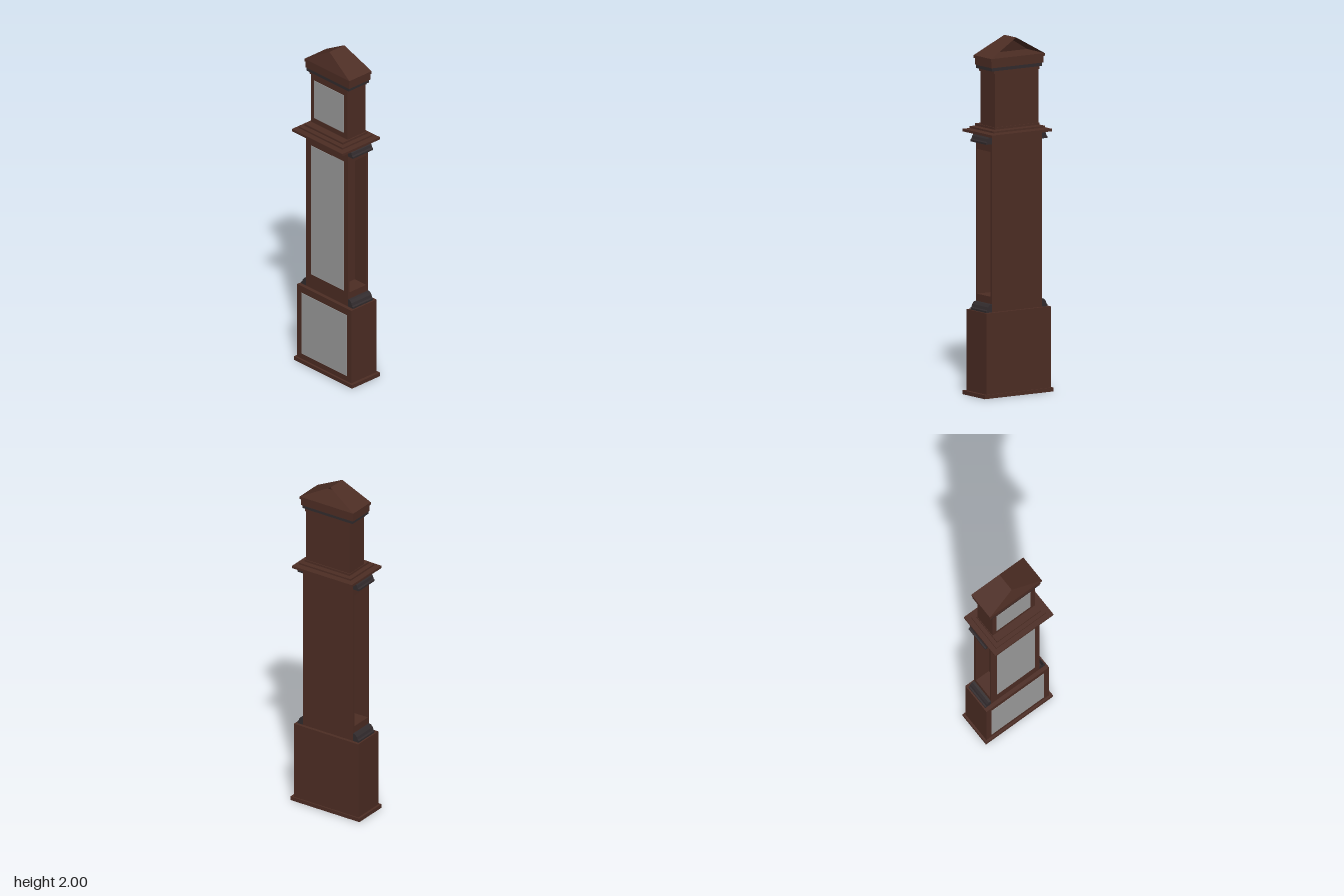
import * as THREE from 'three';

const wood = new THREE.MeshStandardMaterial({ color: 0x4d2d24, flatShading: true });
wood.name = 'brownWood';
const roofWood = wood;
const glass = new THREE.MeshStandardMaterial({ color: 0x9c9c9c });
glass.name = 'greyGlass';
const dark = new THREE.MeshStandardMaterial({ color: 0x322b2d, flatShading: true });
dark.name = 'darkMoulding';

export function createModel() {
  const group = new THREE.Group();

  const add = (name, geometry, material) => {
    const mesh = new THREE.Mesh(geometry, material);
    mesh.name = name;
    group.add(mesh);
    return mesh;
  };
  // Box given by its limits on each axis
  const box = (name, x0, x1, y0, y1, z0, z1, material = wood) => {
    const g = new THREE.BoxGeometry(x1 - x0, y1 - y0, z1 - z0);
    g.translate((x0 + x1) / 2, (y0 + y1) / 2, (z0 + z1) / 2);
    return add(name, g, material);
  };
  // Thin pane set into a front face at depth z
  const pane = (name, x0, x1, y0, y1, z) =>
    box(name, x0, x1, y0, y1, z - 0.004, z + 0.002, glass);

  // Base
  box('plinth', -0.234, 0.232, 0, 0.022, -0.116, 0.098);
  box('baseCabinet', -0.221, 0.214, 0.022, 0.477, -0.108, 0.085);
  pane('basePanel', -0.186, 0.177, 0.055, 0.436, 0.085);

  // Trunk with a deep recess in each side
  const L = -0.173, R = 0.165;
  box('trunkFront', L, R, 0.477, 1.465, 0.053, 0.063);
  box('trunkBack', L, R, 0.477, 1.465, -0.09, -0.074);
  box('trunkBottomRail', L, R, 0.477, 0.563, -0.074, 0.053);
  box('trunkTopRail', L, R, 1.375, 1.465, -0.074, 0.053);
  box('trunkCore', L + 0.09, R - 0.09, 0.563, 1.375, -0.074, 0.053);
  pane('trunkPanel', -0.132, 0.131, 0.565, 1.375, 0.063);

  // Flared mouldings on both sides, at the foot and head of the trunk
  const profile = [[0, 0], [0.039, 0], [0.039, 0.01], [0.031, 0.015],
    [0.026, 0.03], [0.014, 0.044], [0, 0.046]];
  for (const y of [0.477, 1.42]) {
    for (const side of [-1, 1]) {
      const points = profile.map(([x, h]) => new THREE.Vector2(side * x, h));
      const g = new THREE.ExtrudeGeometry(new THREE.Shape(points),
        { depth: 0.153, bevelEnabled: false });
      g.translate(side < 0 ? L : R, y, -0.09);
      add('sideMoulding', g, dark);
    }
  }

  // Stepped cornice of thin boards
  box('corniceLower', -0.203, 0.202, 1.465, 1.479, -0.145, 0.142);
  box('corniceMiddle', -0.175, 0.173, 1.485, 1.495, -0.116, 0.114);
  box('corniceUpper', -0.153, 0.152, 1.5, 1.512, -0.095, 0.092);

  // Hood
  box('hood', -0.15, 0.145, 1.512, 1.815, -0.09, 0.048);
  pane('hoodPanel', -0.124, 0.114, 1.545, 1.78, 0.048);

  // Crown mouldings stepping outward
  box('crownNeck', -0.157, 0.151, 1.812, 1.828, -0.09, 0.053);
  box('crownBand', -0.172, 0.167, 1.828, 1.847, -0.093, 0.06, dark);
  box('crownBoard', -0.178, 0.173, 1.847, 1.885, -0.098, 0.063);
  box('eaves', -0.183, 0.179, 1.885, 1.9, -0.103, 0.067);

  // Roof: two slopes and a leaning front gable, open at the back
  const xl = -0.183, xr = 0.179, y0 = 1.9, px = -0.01, y1 = 2;
  const fl = [xl, y0, 0.067], fr = [xr, y0, 0.067], bl = [xl, y0, -0.103], br = [xr, y0, -0.103];
  const fp = [px, y1, 0.039], bp = [px, y1, -0.074];
  const roof = new THREE.BufferGeometry();
  const corners = [fl, fr, fp, fr, br, bp, fr, bp, fp, bl, fl, fp, bl, fp, bp].flat();
  roof.setAttribute('position', new THREE.Float32BufferAttribute(corners, 3));
  roof.computeVertexNormals();
  roofWood.side = THREE.DoubleSide;
  add('roof', roof, roofWood);

  return group;
}
